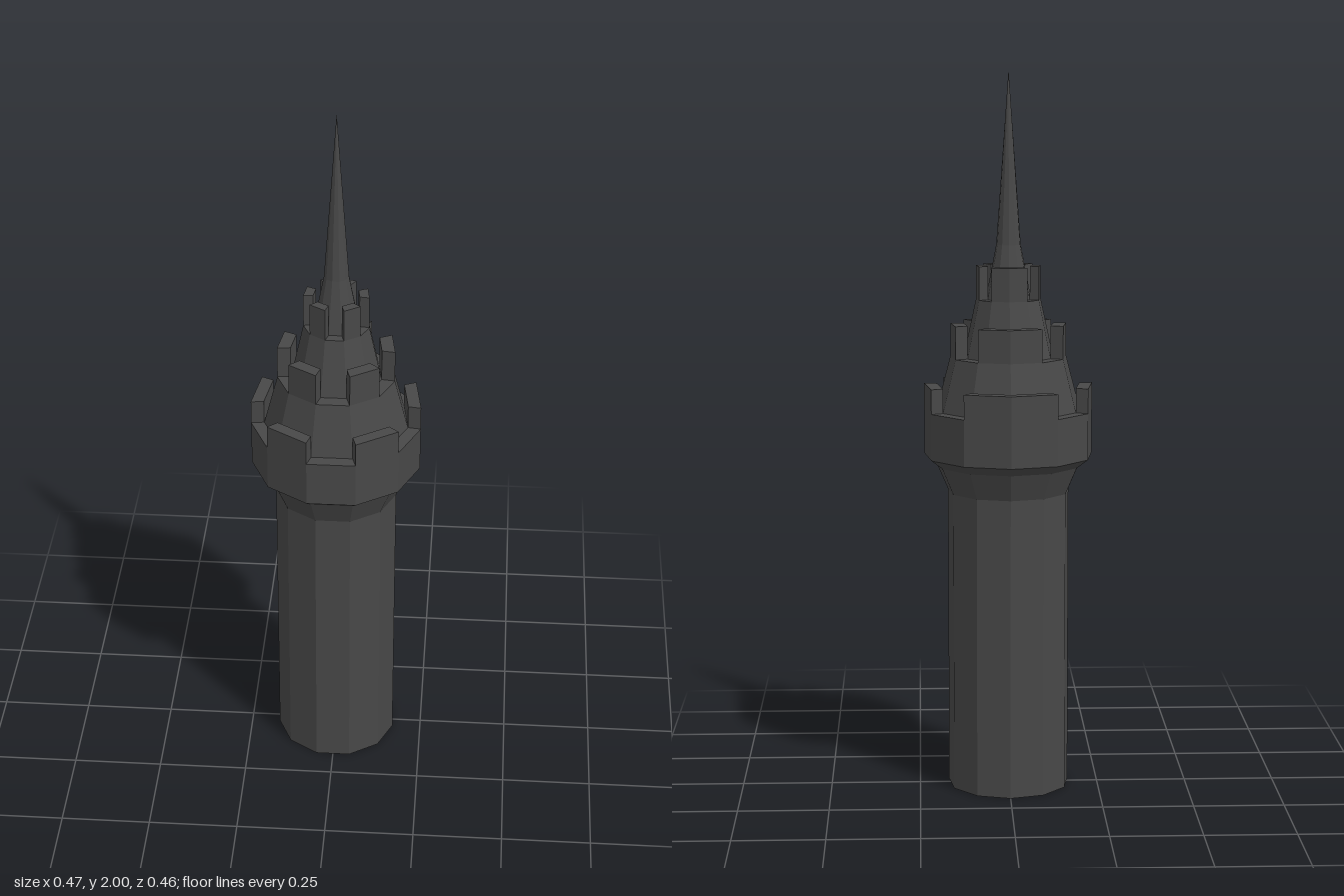
import * as THREE from 'three';

const SIDES = 11;
const STEP = (Math.PI * 2) / SIDES;
// Faces of each parapet that carry a merlon (face 0 looks to +z)
const MERLON_FACES = [1, 3, 5, 6, 8, 10];

const stone = new THREE.MeshStandardMaterial({ color: 0x484848 });
stone.name = 'dark stone';

// Faceted mesh: every face gets its own normal
function addMesh(parent, geometry, name) {
  const flat = geometry.index ? geometry.toNonIndexed() : geometry;
  flat.computeVertexNormals();
  const mesh = new THREE.Mesh(flat, stone);
  mesh.name = name;
  parent.add(mesh);
}

// Eleven-sided turned section from [radius, height] pairs, bottom to top
function turned(parent, profile, name) {
  const points = profile.map(([r, y]) => new THREE.Vector2(r, y));
  addMesh(parent, new THREE.LatheGeometry(points, SIDES, STEP / 2, Math.PI * 2), name);
}

// Merlons standing on one parapet, each spanning one face of the tower
function merlons(parent, outer, inner, bottom, top, name) {
  const ring = new THREE.Group();
  ring.name = name;
  for (const face of MERLON_FACES) {
    const a = (face - 0.5) * STEP;
    const b = (face + 0.5) * STEP;
    const corner = (r, t) => new THREE.Vector2(r * Math.sin(t), -r * Math.cos(t));
    const shape = new THREE.Shape([corner(outer, a), corner(outer, b), corner(inner, b), corner(inner, a)]);
    const geometry = new THREE.ExtrudeGeometry(shape, { depth: top - bottom, bevelEnabled: false });
    geometry.rotateX(-Math.PI / 2);
    geometry.translate(0, bottom, 0);
    addMesh(ring, geometry, 'merlon');
  }
  parent.add(ring);
}

export function createModel() {
  const tower = new THREE.Group();
  tower.name = 'tower';

  // Shaft and the flared gallery above it
  turned(tower, [[0, 0], [0.17, 0], [0.17, 0.84]], 'shaft');
  turned(tower, [[0.17, 0.84], [0.203, 0.915], [0.236, 0.94], [0.236, 1.069], [0.2, 1.069]], 'gallery');
  merlons(tower, 0.236, 0.2, 1.069, 1.137, 'lowerParapet');

  // Stepped roofs, each carrying a smaller parapet
  turned(tower, [[0.2, 1.069], [0.162, 1.215], [0.125, 1.215]], 'lowerRoof');
  merlons(tower, 0.162, 0.125, 1.215, 1.306, 'middleParapet');
  turned(tower, [[0.125, 1.215], [0.09, 1.375], [0.063, 1.375]], 'upperRoof');
  merlons(tower, 0.09, 0.063, 1.375, 1.467, 'upperParapet');

  // Needle spire
  turned(tower, [[0.063, 1.375], [0.034, 1.525], [0, 2]], 'spire');

  // Centre the odd-sided outline on z
  tower.children.forEach((part) => { part.position.z = 0.005; });
  return tower;
}
